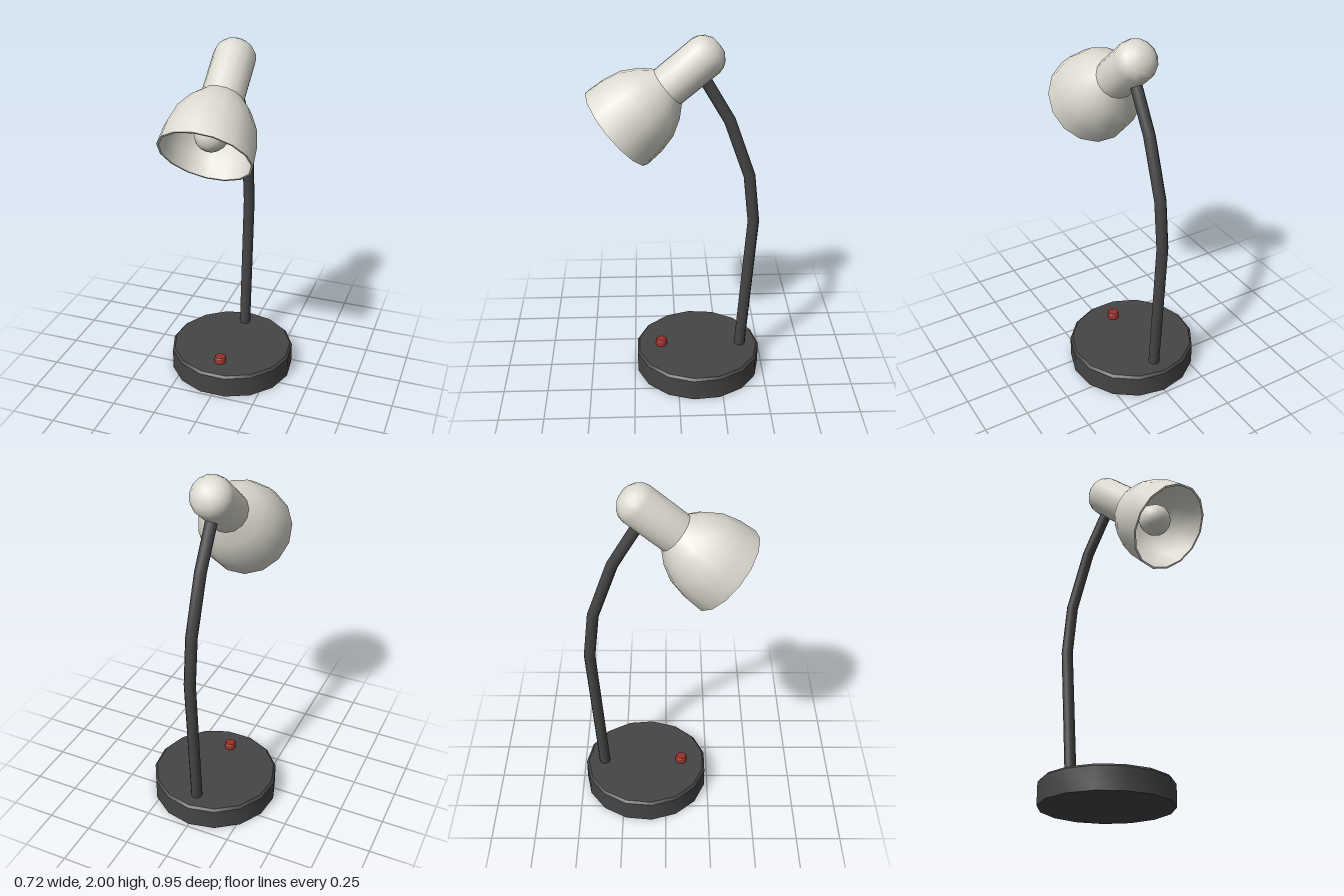
import * as THREE from 'three';
import { toCreasedNormals } from 'three/addons/utils/BufferGeometryUtils.js';

const SIDES = 15;

function material(name, color, side = THREE.FrontSide) {
  const m = new THREE.MeshStandardMaterial({ color, side });
  m.name = name;
  return m;
}

// Turned part from [radius, height] pairs; bevels and rims stay crisp
function turned(name, profile, mat, phiStart = 0, sides = SIDES) {
  const points = profile.map(([r, h]) => new THREE.Vector2(r, h));
  const geo = toCreasedNormals(new THREE.LatheGeometry(points, sides, phiStart), 0.7);
  const mesh = new THREE.Mesh(geo, mat);
  mesh.name = name;
  return mesh;
}

// Bent rod in the x = 0 plane with mitred joints, through [z, y] points
function bentRod(name, path, radius, mat) {
  const n = path.length - 1;
  const pts = path.map(([z, y]) => new THREE.Vector2(z, y));
  const geo = new THREE.CylinderGeometry(radius, radius, n, 10, n);
  const pos = geo.attributes.position;
  for (let k = 0; k < pos.count; k++) {
    const i = Math.round(pos.getY(k) + n / 2);
    const before = pts[i].clone().sub(pts[Math.max(i - 1, 0)]).normalize();
    const after = pts[Math.min(i + 1, n)].clone().sub(pts[i]).normalize();
    const dir = before.add(after).normalize();
    const off = pos.getZ(k);
    pos.setXYZ(k, pos.getX(k), pts[i].y - dir.x * off, pts[i].x + dir.y * off);
  }
  const mesh = new THREE.Mesh(toCreasedNormals(geo, 0.8), mat);
  mesh.name = name;
  return mesh;
}

export function createModel() {
  const dark = material('dark grey', 0x454545);
  const cream = material('warm white', 0xdcdad0);
  const red = material('switch red', 0x9c302a);

  const lamp = new THREE.Group();
  lamp.name = 'deskLamp';

  // Weighted base with a small bevel
  const base = turned('base', [
    [0, 0], [0.36, 0], [0.36, 0.122], [0.347, 0.135], [0, 0.135],
  ], dark, Math.PI);
  base.position.z = -0.12;

  // Switch button
  const button = turned('switchButton', [
    [0, 0.13], [0.033, 0.13], [0.033, 0.166], [0.028, 0.172], [0, 0.172],
  ], red, 0, 12);
  button.position.z = 0.093;

  // Curved arm from the base to the lamp holder
  const arm = bentRod('arm', [
    [-0.368, 0.12], [-0.423, 0.945], [-0.392, 1.22], [-0.278, 1.54], [-0.125, 1.8],
  ], 0.032, dark);

  // Head: local y runs from the shade rim back up to the holder end
  const head = new THREE.Group();
  head.name = 'head';
  head.position.set(0, 1.5085, 0.314);
  head.rotation.x = -THREE.MathUtils.degToRad(50);

  // Shade wall: down the inside, around the rim, up the outside
  const shade = turned('shade', [
    [0.09, 0.34], [0.158, 0.276], [0.207, 0.195], [0.231, 0.1], [0.239, 0],
    [0.25, 0], [0.243, 0.1], [0.219, 0.2], [0.17, 0.286], [0.11, 0.352],
  ], cream);

  // Holder with a rounded back end
  const holder = turned('lampHolder', [
    [0, 0.335], [0.113, 0.335], [0.113, 0.6], [0.105, 0.633],
    [0.085, 0.66], [0.05, 0.684], [0, 0.69],
  ], cream);

  // Bulb: round tip narrowing to a neck
  const bulbProfile = [];
  for (let i = 0; i <= 8; i++) {
    const a = (i / 8) * Math.PI * 0.65;
    bulbProfile.push([0.089 * Math.sin(a), 0.13 - 0.089 * Math.cos(a)]);
  }
  bulbProfile.push([0.055, 0.22], [0.045, 0.34]);
  const bulb = turned('bulb', bulbProfile, cream);

  head.add(shade, holder, bulb);
  lamp.add(base, button, arm, head);
  return lamp;
}
